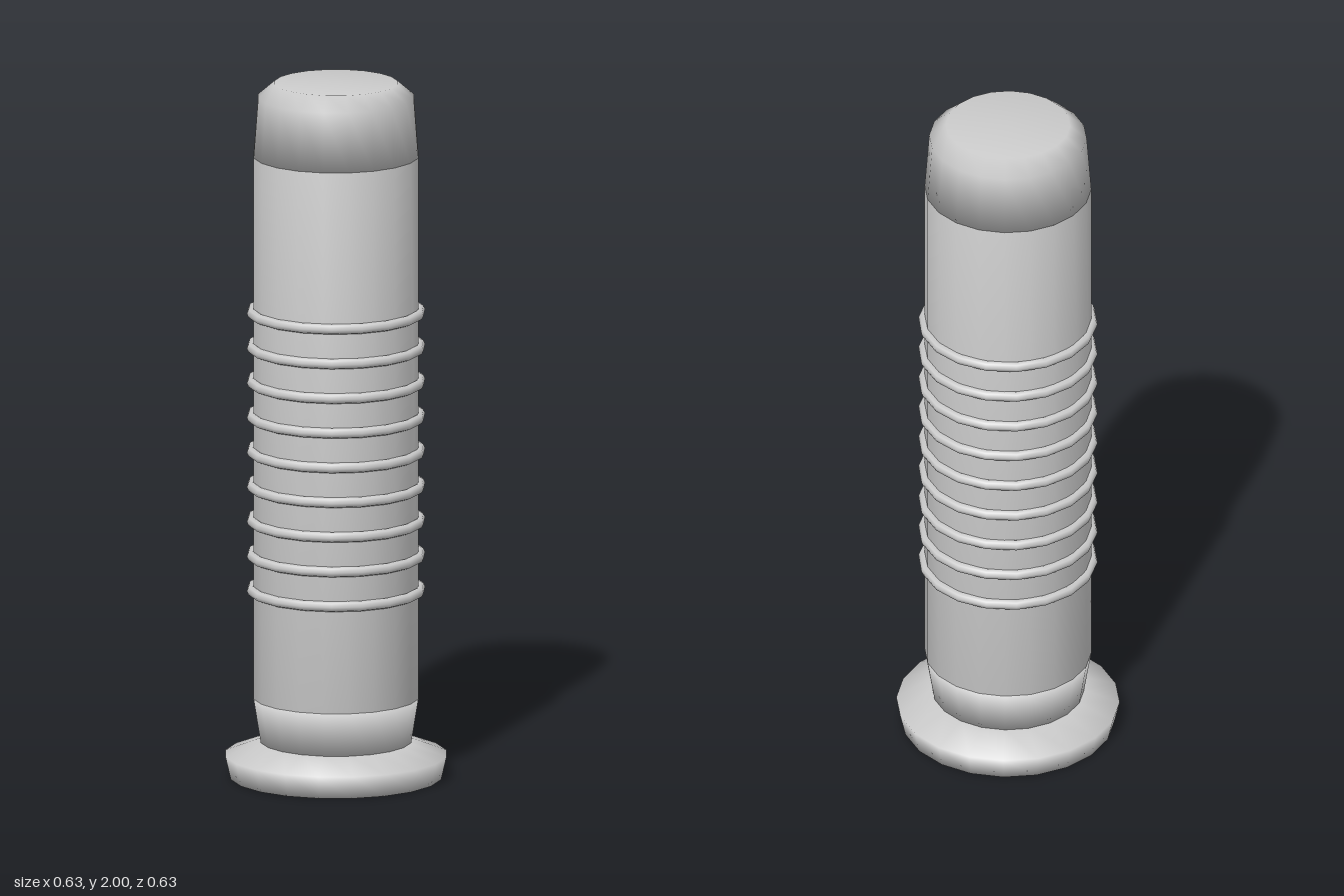
import * as THREE from 'three';

export function createModel() {
  const model = new THREE.Group();
  const material = new THREE.MeshStandardMaterial({ color: 0xcccccc });

  // Closed, smooth, 20-sided turned part from a [radius, height] profile, bottom to top
  function turned(name, profile) {
    const points = profile.map(([r, y]) => new THREE.Vector2(r, y));
    const mesh = new THREE.Mesh(new THREE.LatheGeometry(points, 20), material);
    mesh.name = name;
    model.add(mesh);
  }

  // Flared foot
  turned('base', [[0, 0], [0.3, 0], [0.315, 0.065], [0.21, 0.105], [0, 0.105]]);

  // Tapered collar between foot and shaft
  turned('collar', [[0, 0.1], [0.214, 0.1], [0.235, 0.23], [0, 0.23]]);

  // Straight shaft
  turned('shaft', [[0, 0.23], [0.235, 0.23], [0.235, 1.79], [0, 1.79]]);

  // Tapered cap with a bevelled top
  turned('cap', [[0, 1.79], [0.235, 1.79], [0.222, 1.96], [0.175, 2], [0, 2]]);

  // Nine evenly spaced grip rings
  const ringGeometry = new THREE.TorusGeometry(0.238, 0.015, 8, 18).rotateX(Math.PI / 2);
  for (let i = 0; i < 9; i++) {
    const ring = new THREE.Mesh(ringGeometry, material);
    ring.name = `gripRing${i + 1}`;
    ring.position.y = 0.54 + i * 0.1;
    model.add(ring);
  }

  return model;
}
